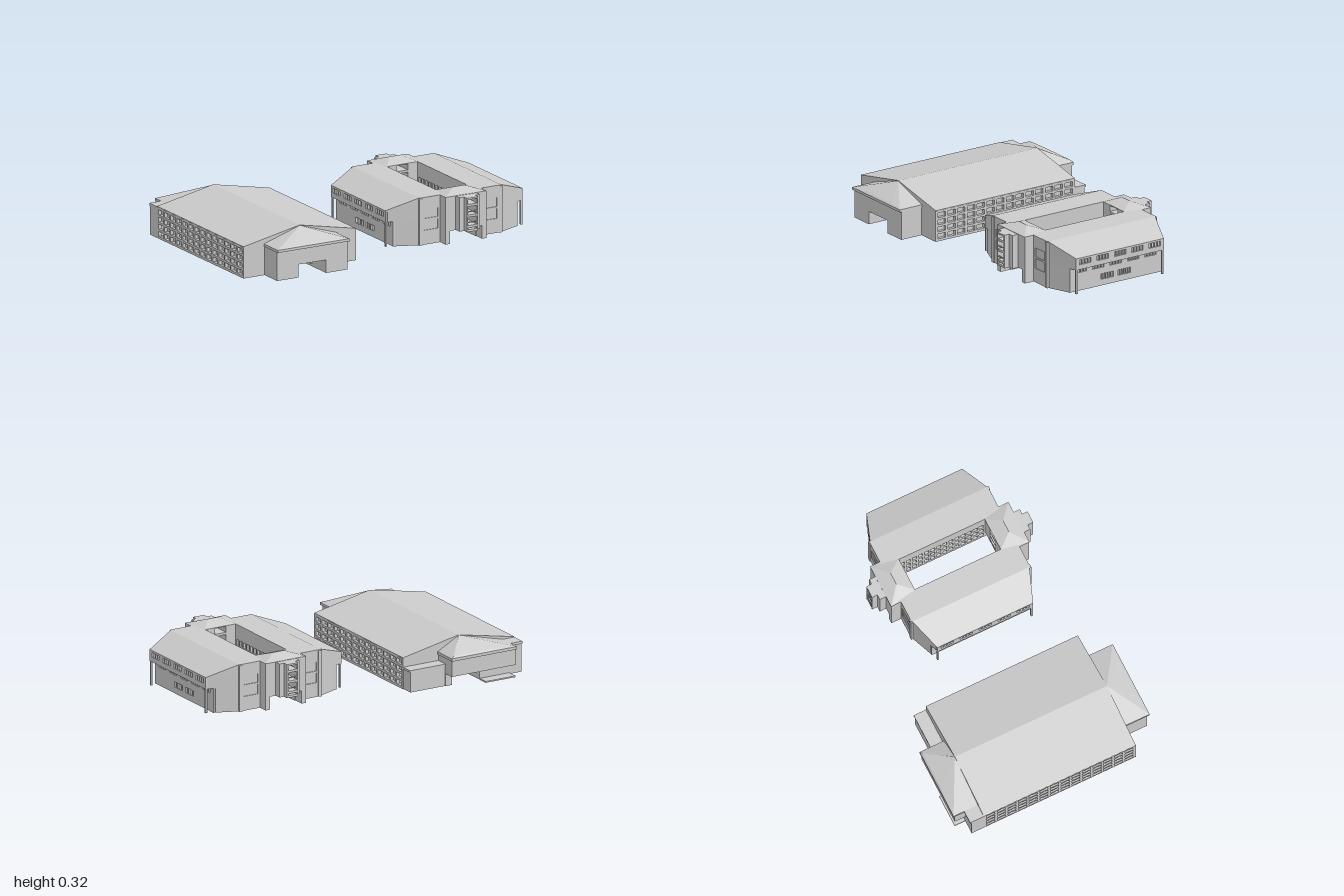
import * as THREE from 'three';
import { ConvexGeometry } from 'three/addons/geometries/ConvexGeometry.js';

const mat = new THREE.MeshStandardMaterial({ color: 0xcccccc, flatShading: true, side: THREE.DoubleSide });

function add(parent, name, geometry) {
  const mesh = new THREE.Mesh(geometry, mat);
  mesh.name = name;
  parent.add(mesh);
  return mesh;
}

// Box given by its limits on each axis
function box(parent, name, x0, x1, y0, y1, z0, z1) {
  const g = new THREE.BoxGeometry(x1 - x0, y1 - y0, z1 - z0);
  return add(parent, name, g.translate((x0 + x1) / 2, (y0 + y1) / 2, (z0 + z1) / 2));
}

// Box on the side s (+1 or -1) of the x axis
const sideBox = (parent, name, s, a, b, ...rest) =>
  box(parent, name, Math.min(s * a, s * b), Math.max(s * a, s * b), ...rest);

// Flat plan outline [x, z] pulled up from y0 to y1
function prism(parent, name, plan, y0, y1) {
  const shape = new THREE.Shape(plan.map(([x, z]) => new THREE.Vector2(x, -z)));
  const g = new THREE.ExtrudeGeometry(shape, { depth: y1 - y0, bevelEnabled: false });
  return add(parent, name, g.rotateX(-Math.PI / 2).translate(0, y0, 0));
}

// Convex solid through a few corners
const hull = (parent, name, pts) =>
  add(parent, name, new ConvexGeometry(pts.map(p => new THREE.Vector3(...p))));

// Upright wall with rectangular holes [u0, u1, v0, v1], facing +z, back on z = 0
function panel(parent, name, u0, u1, v0, v1, depth, holes) {
  const rect = (P, a, b, c, d) => new P([[a, c], [b, c], [b, d], [a, d]].map(p => new THREE.Vector2(...p)));
  const shape = rect(THREE.Shape, u0, u1, v0, v1);
  shape.holes = holes.map(h => rect(THREE.Path, ...h));
  return add(parent, name, new THREE.ExtrudeGeometry(shape, { depth, bevelEnabled: false }));
}

// Regular grid of holes
function holeGrid(u0, u1, cols, gapU, v0, v1, rows, gapV) {
  const holes = [], du = (u1 - u0) / cols, dv = (v1 - v0) / rows;
  for (let i = 0; i < cols; i++)
    for (let j = 0; j < rows; j++)
      holes.push([u0 + i * du + gapU / 2, u0 + (i + 1) * du - gapU / 2, v0 + j * dv + gapV / 2, v0 + (j + 1) * dv - gapV / 2]);
  return holes;
}

// Long hall: two wings beside an open passage, under one gable roof
function longHall() {
  const hall = new THREE.Group();
  hall.name = 'longHall';
  for (const s of [1, -1]) {
    const wing = new THREE.Group();
    wing.name = s > 0 ? 'leftWing' : 'rightWing';
    sideBox(wing, 'floor', s, 0.095, 0.383, 0, 0.012, -0.5, 0.5);
    sideBox(wing, 'core', s, 0.11, 0.365, 0.012, 0.18, -0.415, 0.498);
    sideBox(wing, 'coreAboveOpenBay', s, 0.11, 0.365, 0.085, 0.18, -0.495, -0.415);
    sideBox(wing, 'frontEndWall', s, 0.095, 0.384, 0, 0.19, 0.485, 0.5);
    sideBox(wing, 'backEndWall', s, 0.095, 0.384, 0, 0.19, -0.5, -0.49);
    // windowed walls along the outside and along the passage
    for (const [name, x] of [['outerWall', s > 0 ? 0.365 : -0.385], ['passageWall', s > 0 ? 0.095 : -0.11]]) {
      const wall = panel(wing, name, -0.5, 0.5, 0, 0.19, x === 0.095 || x === -0.11 ? 0.015 : 0.02,
        holeGrid(-0.49, 0.49, 14, 0.016, 0.008, 0.184, 4, 0.014));
      wall.rotation.y = Math.PI / 2;
      wall.position.x = x;
    }
    // front pavilion walls
    sideBox(wing, 'frontPavilionWall', s, 0.095, 0.24, 0, 0.178, 0.5, 0.645);
    hall.add(wing);
  }
  box(hall, 'ceiling', -0.384, 0.384, 0.18, 0.195, -0.5, 0.5);
  const gable = new THREE.Shape([[-0.385, 0.195], [0.385, 0.195], [0, 0.272]].map(p => new THREE.Vector2(...p)));
  add(hall, 'mainRoof', new THREE.ExtrudeGeometry(gable, { depth: 1, bevelEnabled: false }).translate(0, 0, -0.5));

  // front pavilion
  box(hall, 'frontLintel', -0.095, 0.095, 0.08, 0.178, 0.5, 0.645);
  box(hall, 'frontFascia', -0.245, 0.245, 0.176, 0.192, 0.5, 0.66);
  hull(hall, 'frontRoof', [[0, 0.27, 0.5], [-0.11, 0.202, 0.645], [0.135, 0.202, 0.645],
    [-0.245, 0.192, 0.5], [0.245, 0.192, 0.5], [-0.245, 0.192, 0.66], [0.245, 0.192, 0.66]]);

  // back pavilion with stepped side blocks
  box(hall, 'backUpperFloor', -0.3, 0.14, 0.076, 0.176, -0.65, -0.5);
  box(hall, 'backFascia', -0.305, 0.145, 0.174, 0.192, -0.66, -0.5);
  box(hall, 'backLowerWall', -0.3, -0.095, 0, 0.076, -0.58, -0.5);
  box(hall, 'backLowerWall', 0.095, 0.14, 0, 0.076, -0.58, -0.5);
  box(hall, 'backTerrace', -0.3, -0.095, 0, 0.008, -0.65, -0.58);
  box(hall, 'backSideBlock', -0.385, -0.3, 0, 0.176, -0.58, -0.5);
  box(hall, 'backSideRoof', -0.385, -0.3, 0.176, 0.192, -0.59, -0.5);
  box(hall, 'backSideBlock', 0.14, 0.38, 0, 0.125, -0.575, -0.5);
  box(hall, 'backSideRoof', 0.14, 0.385, 0.125, 0.137, -0.58, -0.5);
  hull(hall, 'backRoof', [[0, 0.27, -0.5], [-0.12, 0.202, -0.65], [0.125, 0.202, -0.65],
    [-0.305, 0.192, -0.5], [0.145, 0.192, -0.5], [-0.305, 0.192, -0.66], [0.145, 0.192, -0.66]]);
  return hall;
}

// One side wing of the courtyard block, on local +x
function courtWing() {
  const wing = new THREE.Group();
  wing.name = 'courtWing';
  const plan = (inner, x, zx) => [[inner, 0.385], [0.28, 0.385], [x, zx], [x, -zx], [0.28, -0.385], [inner, -0.385]];
  prism(wing, 'lowerFloors', plan(0.117, 0.413, 0.332), 0, 0.15);
  prism(wing, 'topFloor', plan(0.117, 0.458, 0.317), 0.15, 0.22);
  box(wing, 'flatRoof', 0.105, 0.28, 0.22, 0.29, -0.385, 0.385);
  const slope = [];
  for (const z of [1, -1])
    slope.push([0.28, 0.29, z * 0.385], [0.28, 0.215, z * 0.385], [0.47, 0.215, z * 0.315], [0.47, 0.222, z * 0.315]);
  hull(wing, 'slopingRoof', slope);

  // five groups of four windows on each upper floor
  const groups = (v0, v1) => [-0.25, -0.125, 0, 0.125, 0.25].flatMap(c =>
    holeGrid(c - 0.043, c + 0.043, 4, 0.004, v0, v1, 1, 0));
  const ground = [-0.062, 0.062].flatMap(c => holeGrid(c - 0.047, c + 0.047, 5, 0.004, 0.038, 0.072, 1, 0));
  const top = panel(wing, 'topWindowWall', -0.315, 0.315, 0.15, 0.22, 0.012, groups(0.18, 0.21));
  const low = panel(wing, 'lowerWindowWall', -0.33, 0.33, 0, 0.15, 0.012, [...groups(0.113, 0.145), ...ground]);
  const court = panel(wing, 'courtyardWall', -0.385, 0.385, 0, 0.29, 0.012,
    holeGrid(-0.28, 0.28, 14, 0.012, 0.01, 0.28, 4, 0.03));
  [[top, 0.458], [low, 0.413], [court, 0.105]].forEach(([wall, x]) => {
    wall.rotation.y = Math.PI / 2;
    wall.position.x = x;
  });

  for (const s of [1, -1]) {
    box(wing, 'cornerColumn', 0.457, 0.468, 0, 0.15, s * 0.308 - 0.006, s * 0.308 + 0.006);
    // end wall with two large windows between piers
    const end = panel(wing, 'endWindowWall', 0.14, 0.28, 0, 0.29, 0.012,
      [[0.155, 0.25, 0.088, 0.148], [0.155, 0.25, 0.16, 0.215]]);
    end.position.z = s > 0 ? 0.378 : -0.39;
    box(wing, 'endPier', 0.262, 0.285, 0, 0.285, s * 0.385 - 0.01, s * 0.385 + 0.01);
  }
  return wing;
}

// End tower over the passage, on local +z
function endTower() {
  const tower = new THREE.Group();
  tower.name = 'endTower';
  for (const s of [1, -1]) {
    sideBox(tower, 'towerSide', s, 0.038, 0.14, 0.08, 0.29, 0.2825, 0.453);
    sideBox(tower, 'towerBase', s, 0.11, 0.14, 0, 0.08, 0.2825, 0.453);
    sideBox(tower, 'bayShoulder', s, 0.034, 0.07, 0.08, 0.285, 0.453, 0.495);
    sideBox(tower, 'bayPost', s, 0.03, 0.038, 0.08, 0.285, 0.495, 0.53);
  }
  // stair landings in the open bay
  for (const y of [0.08, 0.105, 0.17, 0.235])
    box(tower, 'landing', -0.038, 0.038, y, y + 0.014, 0.2825, 0.528);
  for (const y of [0.135, 0.2])
    box(tower, 'bayRail', -0.038, 0.038, y, y + 0.005, 0.52, 0.528);
  box(tower, 'bayRoof', -0.07, 0.07, 0.278, 0.288, 0.453, 0.495);
  box(tower, 'bayRoof', -0.038, 0.038, 0.278, 0.288, 0.495, 0.53);
  hull(tower, 'towerRoof', [[-0.038, 0.32, 0.37], [0.038, 0.32, 0.37],
    ...[-0.14, 0.14].flatMap(x => [[x, 0.285, 0.455], [x, 0.29, 0.455]]),
    ...[-0.107, 0.107].flatMap(x => [[x, 0.285, 0.2825], [x, 0.29, 0.2825]])]);
  return tower;
}

export function createModel() {
  const model = new THREE.Group();
  model.name = 'twoBuildings';
  const hall = longHall();
  hall.position.x = -0.615;
  const court = new THREE.Group();
  court.name = 'courtyardBlock';
  court.position.set(0.53, 0, 0.035);
  for (const turn of [0, Math.PI]) {
    for (const part of [courtWing(), endTower()]) {
      part.rotation.y = turn;
      court.add(part);
    }
  }
  model.add(hall, court);
  return model;
}
